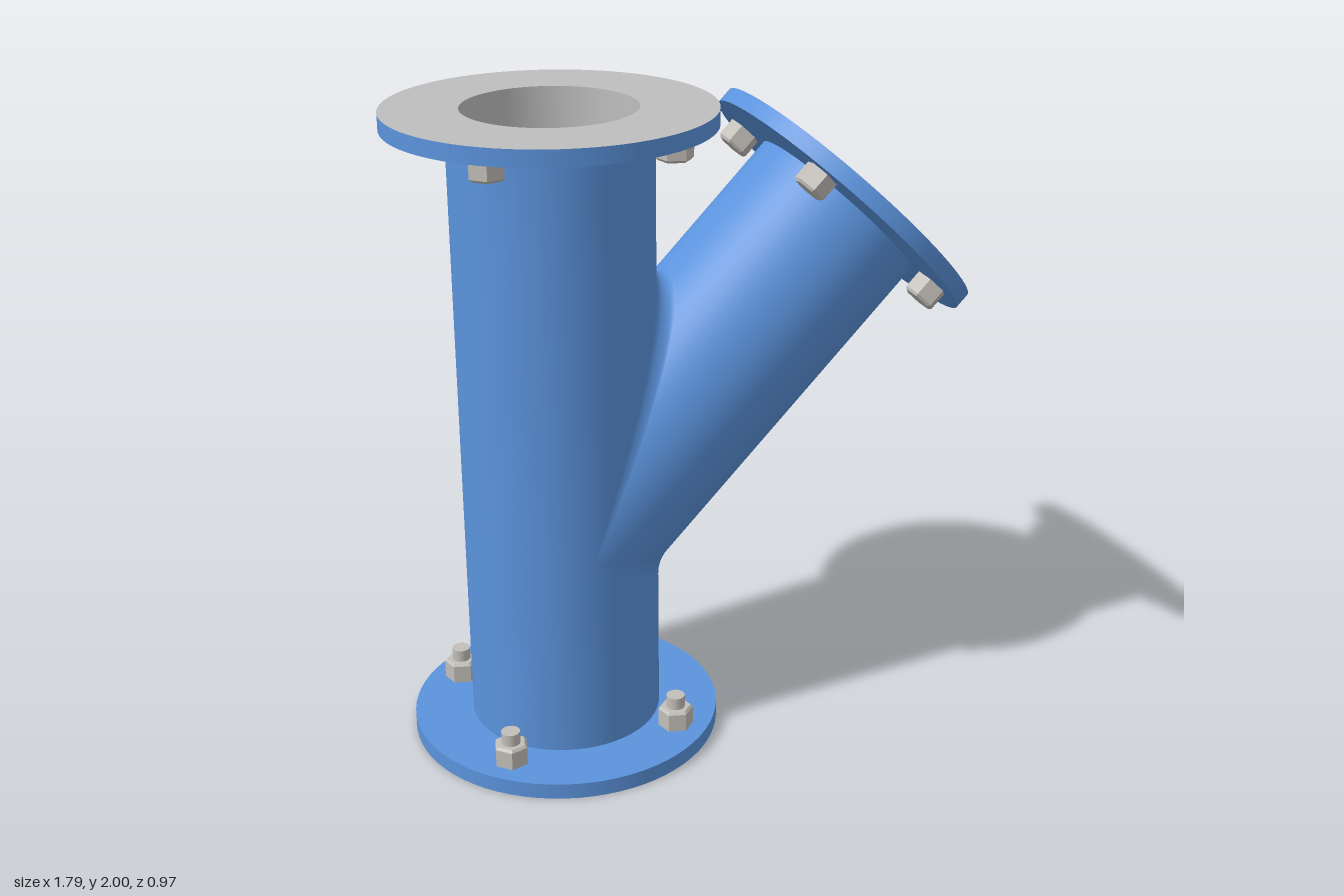
import * as THREE from 'three';

const JOINT = [-0.41, 0.68, 0];            // where the two pipe axes meet
const REACH = 0.96 * Math.SQRT2;           // joint to branch flange face
const DOWN = -0.68, UP = 1.32;             // joint to lower and upper flange faces
const FLANGE_R = 0.485, FLANGE_T = 0.05, PIPE_R = 0.3, BORE_R = 0.257;

const paint = new THREE.MeshStandardMaterial({ name: 'blue paint', color: 0x5b93dc });
const bare = new THREE.MeshStandardMaterial({ name: 'bare metal', color: 0xbebebe });
const steel = new THREE.MeshStandardMaterial({ name: 'bolt steel', color: 0xc2beb8 });

function mesh(name, geometry, material, parent) {
  const m = new THREE.Mesh(geometry, material);
  m.name = name;
  parent.add(m);
  return m;
}

// Skin of two equal tubes joined at 45 degrees, made of slices at constant z.
// Each slice is a straight line, a rounded corner and another straight line.
function teeSkin(R, trim, lowFillet, highFillet, inward) {
  const rows = 48, arc = 10;
  const d = new THREE.Vector2(Math.SQRT1_2, Math.SQRT1_2);
  const n = new THREE.Vector2(-Math.SQRT1_2, Math.SQRT1_2);
  const bottom = DOWN + trim, top = UP - trim, reach = REACH - trim;
  const up = new THREE.Vector2(0, 1), down = new THREE.Vector2(0, -1);
  const pos = [], index = [], edges = [];

  // conic corner from C + t*from to C + t*to
  function corner(C, from, to, t, w) {
    const A = C.clone().addScaledVector(from, t), B = C.clone().addScaledVector(to, t);
    const pts = [];
    for (let k = 0; k <= arc; k++) {
      const u = k / arc, a = (1 - u) ** 2, c = 2 * u * (1 - u) * w, b = u * u;
      pts.push(new THREE.Vector2()
        .addScaledVector(A, a).addScaledVector(C, c).addScaledVector(B, b)
        .divideScalar(a + b + c));
    }
    return pts;
  }
  const branchEnd = p => d.clone().multiplyScalar(reach).addScaledVector(n, p);
  const T = Math.SQRT2 - 1, S = Math.SQRT2 + 1;
  const lower = a => [new THREE.Vector2(a, bottom),
    ...corner(new THREE.Vector2(a, -T * a), down, d, T * lowFillet * a / R, 0.924),
    branchEnd(-a)];
  const upper = a => [branchEnd(a),
    ...corner(new THREE.Vector2(a, S * a), d, up, S * highFillet * a / R, 0.383),
    new THREE.Vector2(a, top)];
  const back = a => [new THREE.Vector2(-a, bottom), new THREE.Vector2(-a, 0), new THREE.Vector2(-a, top)];

  for (const [slice, dir] of [[lower, 1], [upper, 1], [back, -1]]) {
    const base = pos.length / 3;
    let cols = 0;
    for (let i = 0; i <= rows; i++) {
      const phi = (i / rows - 0.5) * Math.PI * dir;
      const path = slice(Math.max(0, R * Math.cos(phi)));
      cols = path.length;
      path.forEach(p => {
        if (i === 0 || i === rows) edges.push([pos.length / 3, Math.sign(phi)]);
        pos.push(p.x, p.y, R * Math.sin(phi));
      });
    }
    for (let i = 0; i < rows; i++) for (let j = 0; j < cols - 1; j++) {
      const a = base + i * cols + j, b = a + 1, c = a + cols, e = c + 1;
      if (inward) index.push(a, c, b, b, c, e);
      else index.push(a, b, c, b, e, c);
    }
  }
  const g = new THREE.BufferGeometry();
  g.setAttribute('position', new THREE.Float32BufferAttribute(pos, 3));
  g.setIndex(index);
  g.computeVertexNormals();
  // the patches meet at the widest z, where the skin faces straight sideways
  for (const [v, s] of edges) g.attributes.normal.setXYZ(v, 0, 0, inward ? -s : s);
  return g;
}

// Hexagonal nut with a chamfered outer end
function nutGeometry() {
  const profile = [[0, 0], [0.055, 0], [0.055, 0.058], [0.047, 0.066], [0, 0.066]]
    .map(([x, y]) => new THREE.Vector2(x, y));
  const g = new THREE.LatheGeometry(profile, 6).toNonIndexed();
  g.computeVertexNormals();
  return g;
}
const nut = nutGeometry();

// Flange with its outer face at local y = 0, bolts on the pipe side
function flange(name, position, rotX, rotZ, withStuds) {
  const g = new THREE.Group();
  g.name = name;
  g.position.set(...position);
  g.rotation.set(rotX, 0, rotZ);
  const ring = new THREE.RingGeometry(BORE_R, FLANGE_R, 72);
  mesh('flangeFace', ring, bare, g).rotation.x = -Math.PI / 2;
  const backRing = mesh('flangeBack', ring, paint, g);
  backRing.rotation.x = Math.PI / 2;
  backRing.position.y = -FLANGE_T;
  mesh('flangeRim', new THREE.CylinderGeometry(FLANGE_R, FLANGE_R, FLANGE_T, 72, 1, true), paint, g)
    .position.y = -FLANGE_T / 2;

  for (let i = 0; i < 4; i++) {
    const a = Math.PI / 4 + i * Math.PI / 2;
    const bolt = new THREE.Group();
    bolt.name = 'bolt';
    bolt.position.set(0.384 * Math.cos(a), -FLANGE_T, 0.384 * Math.sin(a));
    bolt.rotation.set(Math.PI, a, 0);
    mesh('nut', nut, steel, bolt);
    if (withStuds) {
      mesh('stud', new THREE.CylinderGeometry(0.029, 0.029, 0.105, 20), steel, bolt).position.y = 0.0525;
    }
    g.add(bolt);
  }
  return g;
}

export function createModel() {
  const model = new THREE.Group();
  model.name = 'pipeBranch';

  // Pipe body and the open bore inside it
  mesh('pipeBody', teeSkin(PIPE_R, FLANGE_T, 0.15, 0.04, false), paint, model).position.set(...JOINT);
  mesh('bore', teeSkin(BORE_R, 0, 0, 0, true), bare, model).position.set(...JOINT);

  // Flanges
  model.add(flange('bottomFlange', [-0.41, 0, 0], Math.PI, 0, true));
  model.add(flange('topFlange', [-0.41, 2, 0], 0, 0, false));
  model.add(flange('branchFlange', [0.55, 1.64, 0], 0, -Math.PI / 4, false));
  return model;
}
